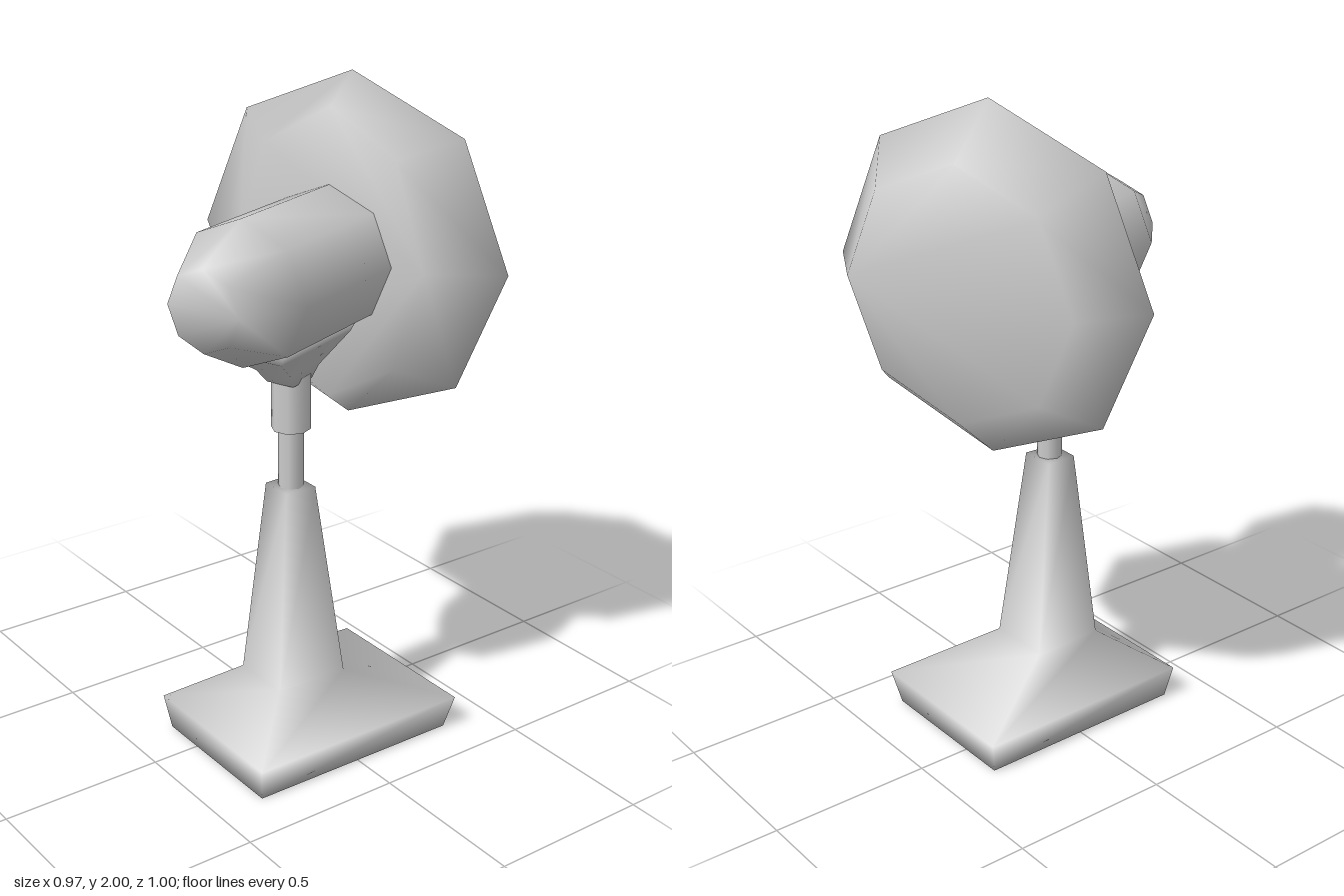
import * as THREE from 'three';

const material = new THREE.MeshStandardMaterial({ color: 0xcccccc });

// Closed skin over cross-sections with shared (smooth) vertices and flat end caps
function loft(name, rings) {
  const n = rings[0].length;
  const index = [];
  for (let i = 0; i < rings.length - 1; i++) {
    for (let j = 0; j < n; j++) {
      const k = (j + 1) % n;
      const a = i * n + j, b = i * n + k, c = a + n, d = b + n;
      index.push(a, b, d, a, d, c);
    }
  }
  const last = (rings.length - 1) * n;
  for (let j = 1; j < n - 1; j++) {
    index.push(0, j + 1, j);
    index.push(last, last + j, last + j + 1);
  }
  const geometry = new THREE.BufferGeometry();
  geometry.setAttribute('position', new THREE.Float32BufferAttribute(rings.flat(2), 3));
  geometry.setIndex(index);
  geometry.computeVertexNormals();
  const mesh = new THREE.Mesh(geometry, material);
  mesh.name = name;
  return mesh;
}

// Eight-sided section facing z
function octagon(rx, ry, z) {
  return Array.from({ length: 8 }, (_, i) => {
    const a = (i * Math.PI) / 4;
    return [rx * Math.cos(a), ry * Math.sin(a), z];
  });
}

// Four-cornered section facing y; the front edge may be narrower than the back
function quad(y, x0, x1, back, front, inset = 0) {
  return [[x1 - inset, y, front], [x1, y, back], [x0, y, back], [x0 + inset, y, front]];
}

// Upright eight-sided post
function post(name, radius, y0, y1) {
  const mesh = new THREE.Mesh(new THREE.CylinderGeometry(radius, radius, y1 - y0, 8), material);
  mesh.name = name;
  mesh.position.set(0.106, (y0 + y1) / 2, 0.073);
  return mesh;
}

export function createModel() {
  const fan = new THREE.Group();
  fan.name = 'deskFan';

  // Foot flowing into the tapered column
  fan.add(loft('base', [
    quad(0, -0.145, 0.35, -0.335, 0.35, 0.005),
    quad(0.105, -0.17, 0.375, -0.357, 0.365, 0.008),
    quad(0.23, 0, 0.208, -0.05, 0.182, 0.008),
    quad(0.84, 0.048, 0.16, 0.025, 0.125, 0.005),
  ]));

  // Telescopic stem
  fan.add(post('rod', 0.038, 0.8, 1.06));
  fan.add(post('collar', 0.058, 1.02, 1.19));

  // Swivelled head, origin at the cage centre
  const head = new THREE.Group();
  head.name = 'head';
  head.position.set(0, 1.485, -0.217);
  head.rotation.y = 0.351;
  fan.add(head);

  head.add(loft('cage', [
    octagon(0.37, 0.37, -0.168),
    octagon(0.516, 0.515, 0),
    octagon(0.314, 0.43, 0.117),
  ]));

  head.add(loft('motorHousing', [
    octagon(0.21, 0.21, 0.115),
    octagon(0.21, 0.21, 0.544),
    octagon(0.117, 0.117, 0.72),
  ]));

  // Funnel joining the housing to the stem
  head.add(loft('neck', [
    quad(-0.315, -0.045, 0.045, 0.27, 0.365),
    quad(-0.275, -0.06, 0.06, 0.255, 0.395),
    quad(-0.19, -0.11, 0.11, 0.17, 0.52),
    quad(-0.14, -0.135, 0.135, 0.16, 0.54),
  ]));

  return fan;
}
